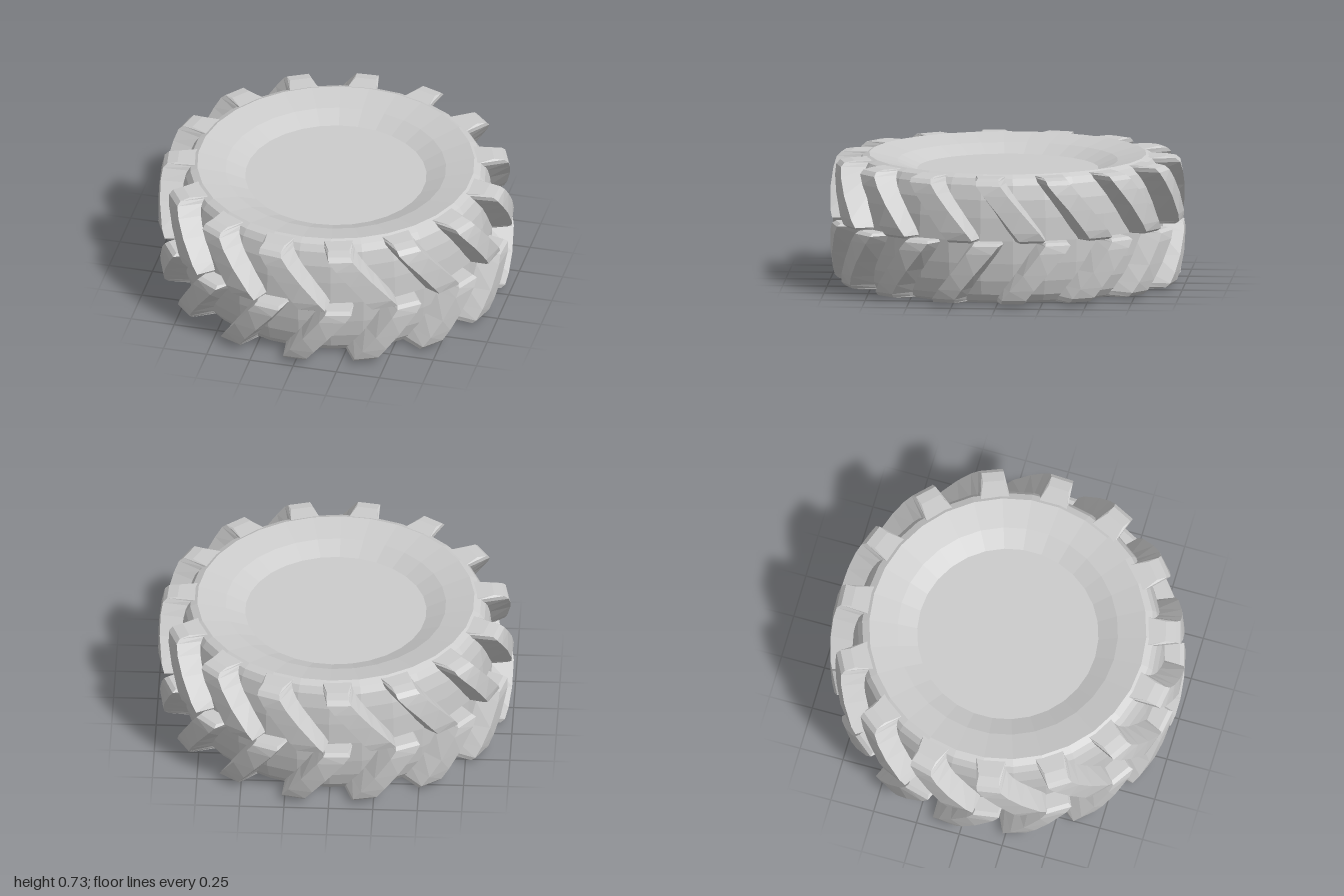
import * as THREE from 'three';

const MID = 0.365;      // height of the tread centre line
const COUNT = 15;       // lugs per row
const RAD = Math.PI / 180;

// Lug slices from the centre line to the shoulder:
// distance from centre line, angle, top radius, base radius, half angles of top and base
const SLICES = [
  [0.000, 6.0, 0.970, 0.87, 3.8, 5.5],
  [0.015, 6.0, 0.993, 0.87, 4.3, 6.0],
  [0.060, 4.0, 1.000, 0.87, 4.3, 6.2],
  [0.180, -1.6, 0.995, 0.86, 4.0, 6.0],
  [0.270, -6.0, 0.985, 0.84, 4.0, 6.0],
  [0.325, -8.5, 0.972, 0.81, 4.0, 6.2],
  [0.348, -9.0, 0.948, 0.79, 3.8, 6.2],
  [0.358, -9.0, 0.890, 0.78, 3.8, 6.2],
];

// One slanted lug; side is 1 for the upper row and -1 for the lower row
function lugGeometry(side) {
  const sections = SLICES.map(([d, angle, top, base, halfTop, halfBase]) =>
    [[-halfBase, base], [-halfTop, top], [halfTop, top], [halfBase, base]].map(([da, r]) => {
      const a = (angle + da) * RAD;
      return [r * Math.sin(a), MID + side * d, r * Math.cos(a)];
    }));
  const positions = [];
  const quad = (a, b, c, d) => {
    const corners = side > 0 ? [a, b, c, a, c, d] : [a, c, b, a, d, c];
    corners.forEach((p) => positions.push(...p));
  };
  for (let i = 0; i < sections.length - 1; i++) {
    const s = sections[i], t = sections[i + 1];
    for (let j = 0; j < 3; j++) quad(s[j], s[j + 1], t[j + 1], t[j]);
  }
  const first = sections[0], last = sections[sections.length - 1];
  quad(first[0], first[3], first[2], first[1]);
  quad(...last);
  const geometry = new THREE.BufferGeometry();
  geometry.setAttribute('position', new THREE.Float32BufferAttribute(positions, 3));
  geometry.computeVertexNormals();
  return geometry;
}

export function createModel() {
  const group = new THREE.Group();
  group.name = 'tractorTyre';
  const material = new THREE.MeshStandardMaterial({ color: 0xcccccc, flatShading: true });

  // Carcass: closed, dished side walls and a rounded tread base
  const half = [[0.885, 0], [0.88, 0.13], [0.868, 0.23], [0.845, 0.31], [0.82, 0.347],
    [0.78, 0.365], [0.62, 0.328], [0.51, 0.28], [0, 0.28]];
  const profile = [
    ...half.slice(1).reverse().map(([r, d]) => new THREE.Vector2(r, MID - d)),
    ...half.map(([r, d]) => new THREE.Vector2(r, MID + d)),
  ];
  const carcass = new THREE.Mesh(new THREE.LatheGeometry(profile, 2 * COUNT), material);
  carcass.name = 'carcass';
  group.add(carcass);

  // Two rows of lugs, the lower one shifted by about a third of a pitch
  for (const side of [1, -1]) {
    const row = new THREE.Group();
    row.name = side > 0 ? 'upperLugs' : 'lowerLugs';
    const geometry = lugGeometry(side);
    for (let i = 0; i < COUNT; i++) {
      const lug = new THREE.Mesh(geometry, material);
      lug.name = 'lug';
      lug.rotation.y = (i + (side > 0 ? 0 : 0.36)) * 2 * Math.PI / COUNT;
      row.add(lug);
    }
    group.add(row);
  }
  return group;
}
